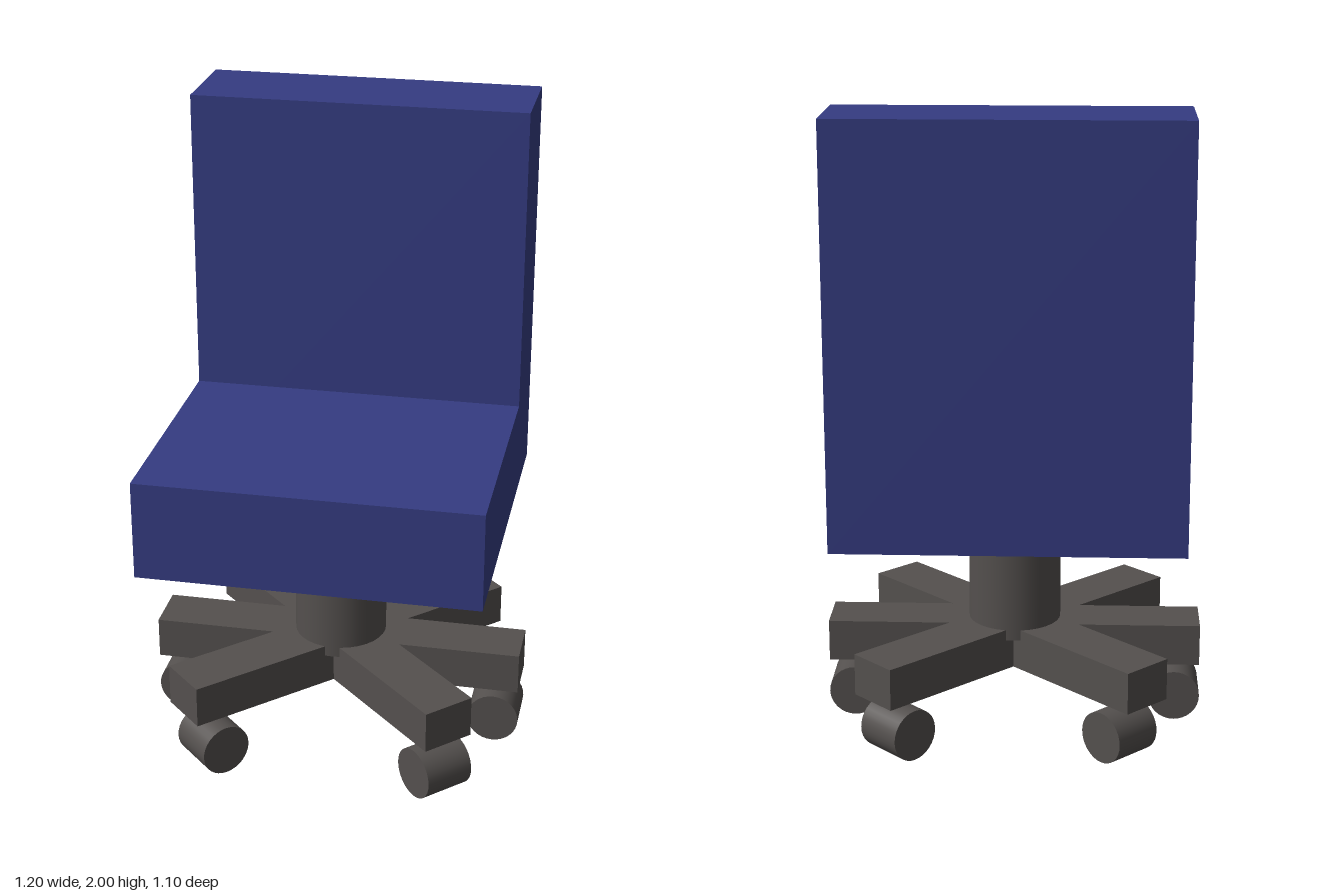
import * as THREE from 'three';

export function createModel() {
  const chair = new THREE.Group();
  chair.name = 'officeChair';

  const fabric = new THREE.MeshStandardMaterial({ color: 0x353c82 });
  fabric.name = 'blueFabric';
  const plastic = new THREE.MeshStandardMaterial({ color: 0x54504e });
  plastic.name = 'darkGreyPlastic';

  const add = (parent, name, geometry, material, x, y, z, turn = 0) => {
    const mesh = new THREE.Mesh(geometry, material);
    mesh.name = name;
    mesh.position.set(x, y, z);
    mesh.rotation.y = turn;
    parent.add(mesh);
    return mesh;
  };

  // Cushions
  add(chair, 'seat', new THREE.BoxGeometry(1.055, 0.313, 0.785), fabric, 0, 0.8835, 0.1575);
  add(chair, 'backrest', new THREE.BoxGeometry(1.055, 1.273, 0.315), fabric, 0, 1.3635, -0.3925);

  // Base, centred slightly forward of the chair's middle
  const base = new THREE.Group();
  base.name = 'base';
  base.position.z = 0.022;
  chair.add(base);

  // Column
  add(base, 'column', new THREE.CylinderGeometry(0.147, 0.147, 0.445, 32), plastic, 0, 0.5125, 0);

  // Three crossing bars make six arms
  const barGeometry = new THREE.BoxGeometry(1.19, 0.133, 0.172);
  for (const turn of [0, Math.PI / 4, -Math.PI / 4]) {
    add(base, 'armBar', barGeometry, plastic, 0, 0.2575, 0, turn);
  }

  // Wheels, each with its axle square to its arm
  const wheelGeometry = new THREE.CylinderGeometry(0.0815, 0.0815, 0.163, 32).rotateX(Math.PI / 2);
  const wheels = [
    [0.516, 0, 0],
    [-0.516, 0, 0],
    [0.375, 0.385, -1],
    [-0.34, 0.375, 1],
    [0.35, -0.36, 1],
    [-0.338, -0.355, -1],
  ];
  for (const [x, z, side] of wheels) {
    add(base, 'wheel', wheelGeometry, plastic, x, 0.0815, z, side * Math.PI / 4);
  }

  return chair;
}
